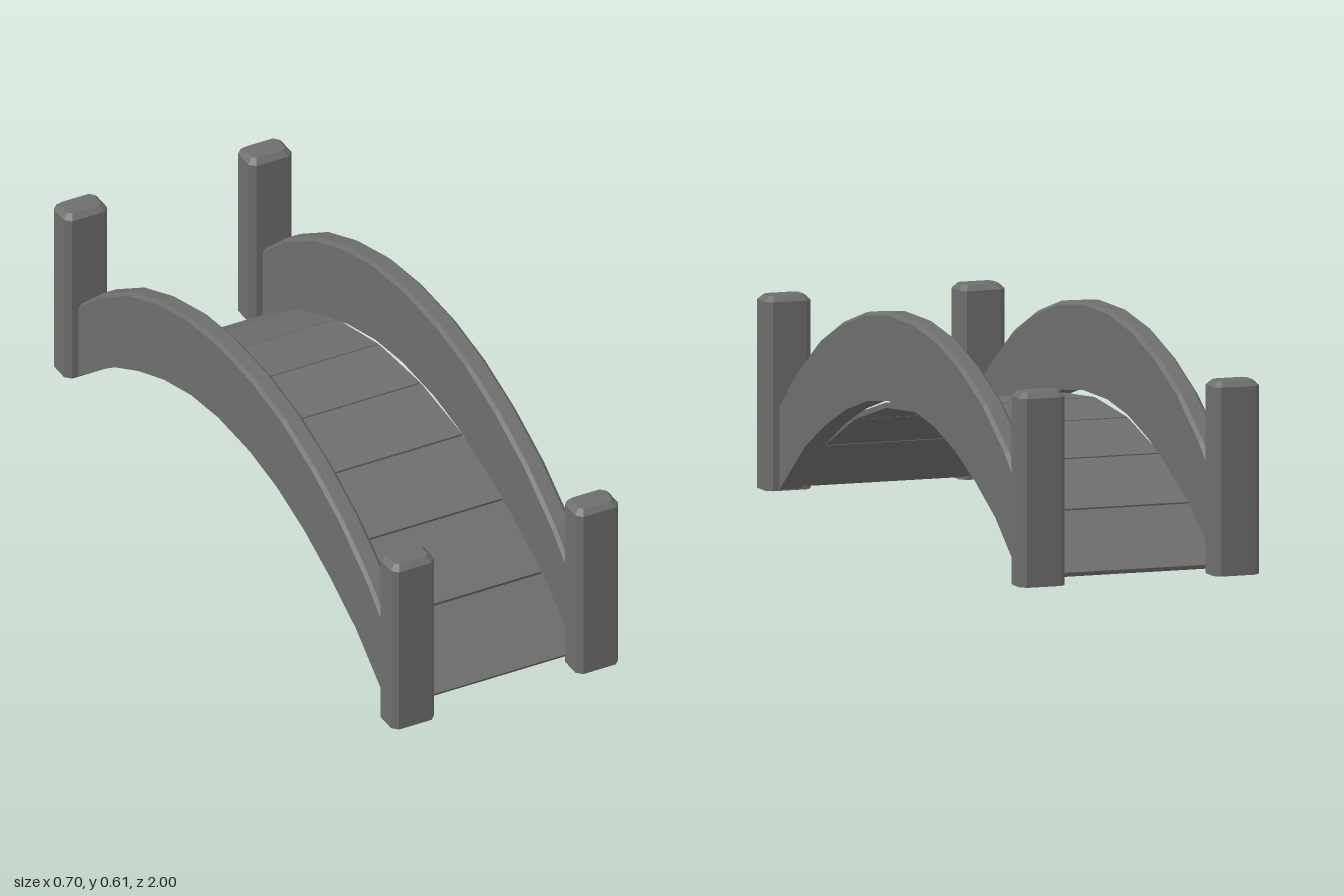
import * as THREE from 'three';

const material = new THREE.MeshStandardMaterial({ color: 0x6e6e6e, flatShading: true });

function add(parent, name, geometry) {
  const mesh = new THREE.Mesh(geometry, material);
  mesh.name = name;
  parent.add(mesh);
  return mesh;
}

// Joins convex rings of equal length into a flat-faced solid with closed ends
function loft(rings) {
  const pos = [];
  const tri = (a, b, c) => pos.push(...a, ...b, ...c);
  const n = rings[0].length;
  for (let r = 0; r < rings.length - 1; r++) {
    for (let i = 0; i < n; i++) {
      const j = (i + 1) % n;
      tri(rings[r][i], rings[r + 1][j], rings[r][j]);
      tri(rings[r][i], rings[r + 1][i], rings[r + 1][j]);
    }
  }
  const first = rings[0];
  const last = rings[rings.length - 1];
  for (let i = 1; i < n - 1; i++) {
    tri(first[0], first[i], first[i + 1]);
    tri(last[0], last[i + 1], last[i]);
  }
  const geometry = new THREE.BufferGeometry();
  geometry.setAttribute('position', new THREE.Float32BufferAttribute(pos, 3));
  geometry.computeVertexNormals();
  return geometry;
}

// Octagon: a rectangle with its four corners cut
function octagon(hx, hz, cut) {
  return [
    [hx, -hz + cut], [hx, hz - cut], [hx - cut, hz], [-hx + cut, hz],
    [-hx, hz - cut], [-hx, -hz + cut], [-hx + cut, -hz], [hx - cut, -hz],
  ];
}

// Post: octagonal rings stacked upwards, the last one inset for the top chamfer
function postGeometry() {
  return loft([[0, 0], [0.521, 0], [0.536, 0.015]].map(([y, inset]) =>
    octagon(0.0665 - inset, 0.0465 - inset, 0.0165 - inset * 0.4).map(([x, z]) => [x, y, z])));
}

// Rail: cross-sections along the arch, chamfered along the top edges only
function railGeometry() {
  // z and y of the upper edge, then z and y of the lower edge
  const half = [
    [0.912, 0.235, 0.912, 0], [0.785, 0.348, 0.712, 0.152], [0.62, 0.455, 0.56, 0.231],
    [0.45, 0.53, 0.41, 0.294], [0.275, 0.582, 0.25, 0.34], [0.1, 0.607, 0.092, 0.362],
  ];
  const mirrored = half.map(([zu, yu, zl, yl]) => [-zu, yu, -zl, yl]).reverse();
  const w = 0.0305;
  const chamfer = 0.01;
  return loft([...half, ...mirrored].map(([zu, yu, zl, yl]) => {
    const t = chamfer / Math.hypot(zl - zu, yl - yu);
    const zs = zu + (zl - zu) * t;
    const ys = yu + (yl - yu) * t;
    return [
      [w, yl, zl], [w, ys, zs], [w - chamfer, yu, zu],
      [-w + chamfer, yu, zu], [-w, ys, zs], [-w, yl, zl],
    ];
  }));
}

export function createModel() {
  const model = new THREE.Group();
  model.name = 'archedBridge';

  // Corner posts and side rails
  const post = postGeometry();
  const rail = railGeometry();
  for (const [side, sx] of [['left', 1], ['right', -1]]) {
    add(model, side + 'Rail', rail).position.x = sx * 0.2845;
    for (const [end, sz] of [['Front', 1], ['Back', -1]]) {
      add(model, side + end + 'Post', post).position.set(sx * 0.2845, 0, sz * 0.9535);
    }
  }

  // Deck planks, each laid between neighbouring points of the arch
  const deck = new THREE.Group();
  deck.name = 'deck';
  model.add(deck);
  const joints = [
    [-0.906, 0.013], [-0.704, 0.156], [-0.478, 0.26], [-0.237, 0.325], [0.008, 0.346],
    [0.253, 0.325], [0.493, 0.26], [0.719, 0.156], [0.918, 0.013],
  ];
  for (let i = 0; i < joints.length - 1; i++) {
    const [z0, y0] = joints[i];
    const [z1, y1] = joints[i + 1];
    const length = Math.hypot(z1 - z0, y1 - y0);
    const plank = add(deck, 'plank' + (i + 1), new THREE.BoxGeometry(0.515, 0.015, length - 0.005));
    plank.position.set(0, (y0 + y1) / 2, (z0 + z1) / 2);
    plank.rotation.x = -Math.atan2(y1 - y0, z1 - z0);
  }
  return model;
}
